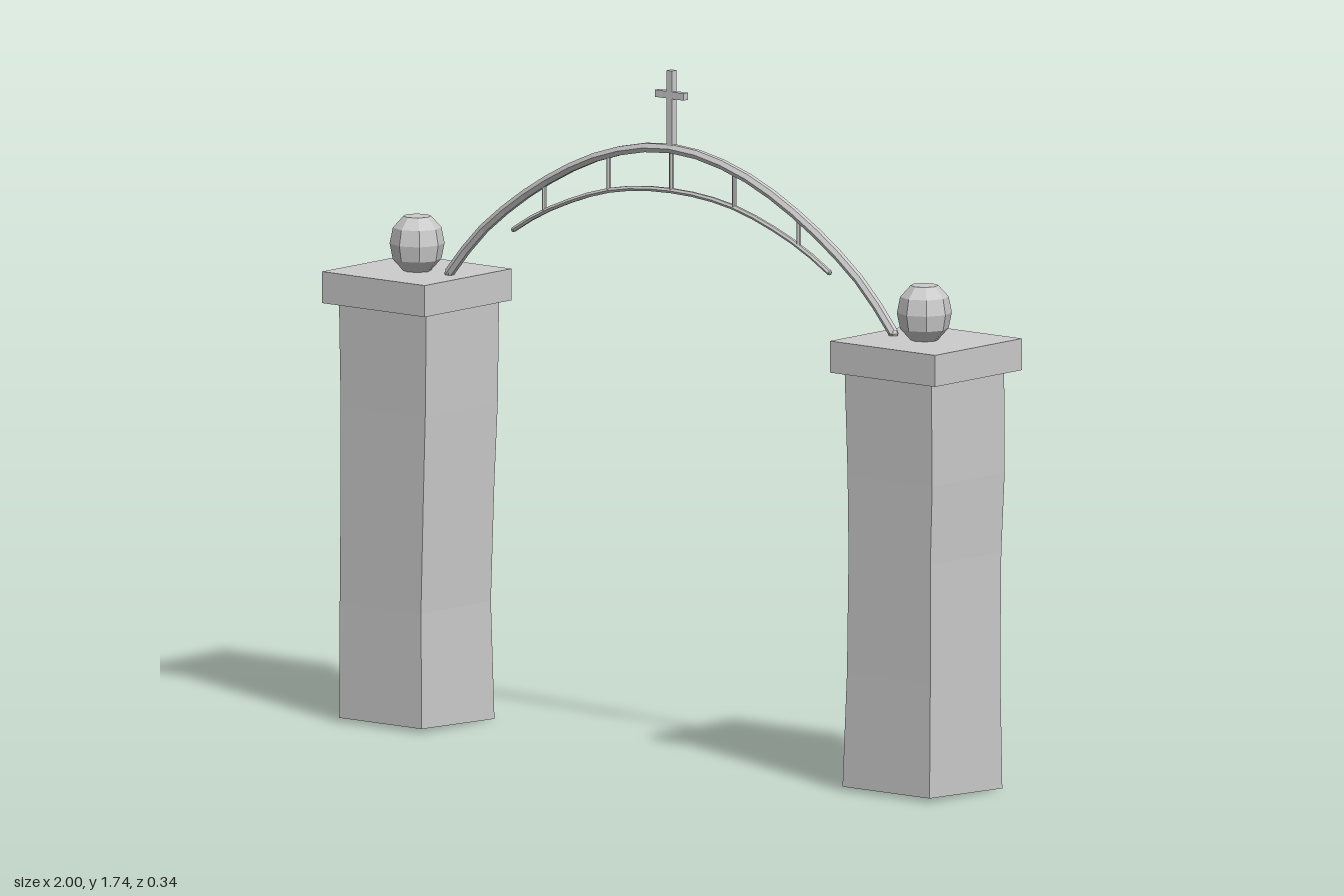
import * as THREE from 'three';

const stone = new THREE.MeshStandardMaterial({ color: 0xcccccc, flatShading: true });
stone.name = 'grey stone';

function add(parent, name, geometry, x = 0, y = 0, z = 0) {
  const mesh = new THREE.Mesh(geometry, stone);
  mesh.name = name;
  mesh.position.set(x, y, z);
  parent.add(mesh);
  return mesh;
}

// Slightly crooked square shaft: each level is [y, xMin, xMax, zMin, zMax]
function shaftGeometry(levels) {
  const g = new THREE.BoxGeometry(1, 1, 1, 1, levels.length - 1, 1);
  const p = g.attributes.position;
  for (let i = 0; i < p.count; i++) {
    const k = Math.round((p.getY(i) + 0.5) * (levels.length - 1));
    const [y, x0, x1, z0, z1] = levels[k];
    // the base is worn a little towards the front
    const lift = k === 0 && p.getZ(i) > 0 ? 0.01 : 0;
    p.setXYZ(i, p.getX(i) < 0 ? x0 : x1, y + lift, p.getZ(i) < 0 ? z0 : z1);
  }
  g.computeVertexNormals();
  return g;
}

// Curved rail through points of its left half, mirrored to the right
function railGeometry(half, radius, segments) {
  const mirrored = half.slice(0, -1).reverse().map(([x, y]) => [-x, y]);
  const points = [...half, ...mirrored].map(([x, y]) => new THREE.Vector3(x, y, 0));
  return new THREE.TubeGeometry(new THREE.CatmullRomCurve3(points), segments, radius, 6, false);
}

// Round end piece that closes a rail
function capEnds(parent, name, [x, y], radius) {
  for (const s of [-1, 1]) add(parent, name, new THREE.SphereGeometry(radius, 6, 4), s * x, y, 0);
}

export function createModel() {
  const model = new THREE.Group();
  model.name = 'gateArch';

  // Pillars with cap slabs and faceted ball finials
  const pillars = [
    {
      name: 'rightPillar', cap: [-1, -0.665], ball: -0.83,
      levels: [
        [0, -0.965, -0.695, -0.14, 0.143],
        [0.3, -0.965, -0.7, -0.132, 0.14],
        [0.6, -0.962, -0.692, -0.136, 0.14],
        [0.8, -0.962, -0.686, -0.142, 0.14],
        [1.07, -0.965, -0.68, -0.14, 0.143],
      ],
    },
    {
      name: 'leftPillar', cap: [0.657, 1], ball: 0.825,
      levels: [
        [0, 0.678, 0.962, -0.14, 0.143],
        [0.3, 0.69, 0.962, -0.132, 0.14],
        [0.6, 0.695, 0.962, -0.136, 0.14],
        [0.8, 0.692, 0.968, -0.142, 0.14],
        [1.06, 0.685, 0.968, -0.14, 0.143],
      ],
    },
  ];
  const ballProfile = [
    [0, -0.069], [0.035, -0.069], [0.061, -0.04], [0.069, 0],
    [0.061, 0.04], [0.035, 0.069], [0, 0.069],
  ].map(([x, y]) => new THREE.Vector2(x, y));

  for (const { name, cap, ball, levels } of pillars) {
    const pillar = new THREE.Group();
    pillar.name = name;
    add(pillar, 'shaft', shaftGeometry(levels));
    add(pillar, 'capSlab', new THREE.BoxGeometry(cap[1] - cap[0], 0.08, 0.338),
      (cap[0] + cap[1]) / 2, 1.1, -0.002);
    add(pillar, 'ballFinial', new THREE.LatheGeometry(ballProfile, 8), ball, 1.209, 0);
    model.add(pillar);
  }

  // Main arch and the thinner rail beneath it
  const arch = new THREE.Group();
  arch.name = 'arch';
  const upper = [[-0.725, 1.145], [-0.62, 1.262], [-0.415, 1.408], [-0.205, 1.503], [0, 1.537]];
  const lower = [[-0.515, 1.277], [-0.415, 1.334], [-0.205, 1.409], [0, 1.43]];
  add(arch, 'upperRail', railGeometry(upper, 0.013, 20));
  add(arch, 'lowerRail', railGeometry(lower, 0.007, 16));
  capEnds(arch, 'upperRailEnd', upper[0], 0.013);
  capEnds(arch, 'lowerRailEnd', lower[0], 0.007);

  // Upright struts between the rails
  const struts = [[0, 1.43, 1.537], [0.205, 1.409, 1.503], [0.415, 1.334, 1.408]];
  for (const [x, y0, y1] of struts) {
    for (const s of x ? [-1, 1] : [1]) {
      add(arch, 'strut', new THREE.CylinderGeometry(0.006, 0.006, y1 - y0, 6), s * x, (y0 + y1) / 2, 0);
    }
  }
  model.add(arch);

  // Cross on the crown
  const cross = new THREE.Group();
  cross.name = 'cross';
  add(cross, 'crossPost', new THREE.BoxGeometry(0.018, 0.2, 0.018), 0, 1.635, 0);
  add(cross, 'crossBar', new THREE.BoxGeometry(0.092, 0.018, 0.0175), 0, 1.673, 0);
  model.add(cross);

  return model;
}
